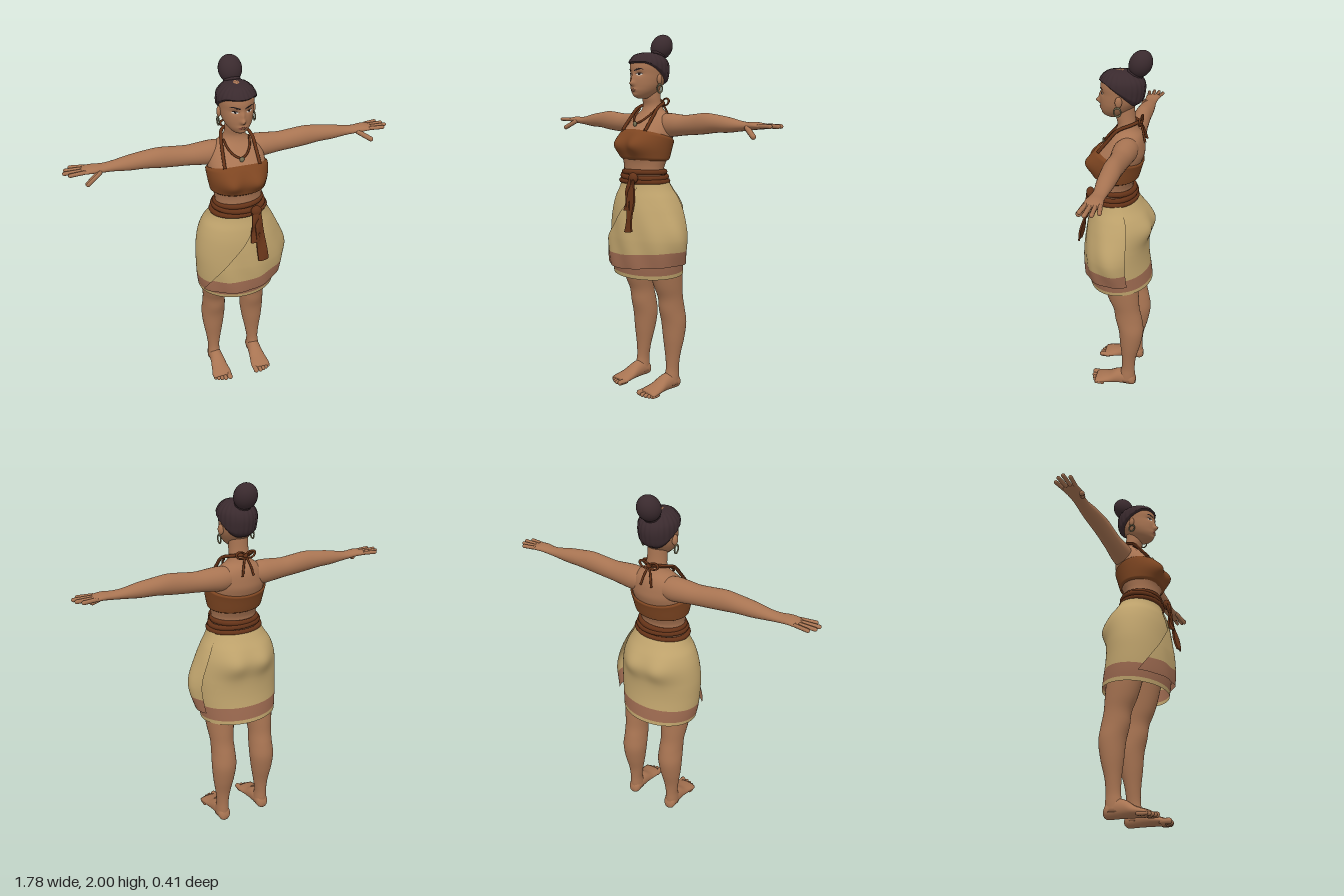
import * as THREE from 'three';

const M = (name, color, side = THREE.FrontSide) => {
  const m = new THREE.MeshStandardMaterial({ color, side });
  m.name = name;
  return m;
};
const D = THREE.DoubleSide, V = (x, y, z) => new THREE.Vector3(x, y, z);
const clamp = THREE.MathUtils.clamp, gauss = (d, s) => Math.exp(-((d / s) ** 2));
const sym = rows => rows.map(([s, h, b, f]) => [s, -h, h, b, f]);

// Smooth cross-section [x0, x1, z0, z1] at height s
function section(secs, s) {
  s = clamp(s, secs[0][0], secs[secs.length - 1][0]);
  let i = 0;
  while (i < secs.length - 2 && s > secs[i + 1][0]) i++;
  const a = secs[i], b = secs[i + 1], p = secs[i - 1] || a, n = secs[i + 2] || b;
  const h = b[0] - a[0], u = (s - a[0]) / h, u2 = u * u, u3 = u2 * u;
  return [1, 2, 3, 4].map(k => {
    const ma = (b[k] - p[k]) / (b[0] - p[0]), mb = (n[k] - a[k]) / (n[0] - a[0]);
    return (2 * u3 - 3 * u2 + 1) * a[k] + (u3 - 2 * u2 + u) * h * ma + (3 * u2 - 2 * u3) * b[k] + (u3 - u2) * h * mb;
  });
}

// Bumps are [x, y, width, height, amount, direction in z]
const bumpZ = (bumps, x, y, c) => bumps.reduce((z, [bx, by, sx, sy, amp, dir]) =>
  z + dir * amp * gauss(x - bx, sx) * gauss(y - by, sy) * clamp(c * dir * 3, 0, 1), 0);

// Skin a stack of elliptical sections; angle 0 faces +z and grows towards +x
function loft(secs, { rows = 30, cols = 40, lo = () => secs[0][0], hi = () => secs[secs.length - 1][0],
  off = () => 0, bumps = [], from = null, to = 0, cap = true } = {}) {
  const pos = [], idx = [], open = from !== null, W = open ? cols + 1 : cols;
  for (let i = 0; i <= rows; i++) for (let j = 0; j < W; j++) {
    const t = i / rows;
    let th = j / cols * Math.PI * 2 - Math.PI, s = lo(th) + (hi(th) - lo(th)) * t;
    if (open) {
      th = from(s) + (to - from(s)) * j / cols;
      s = lo(th) + (hi(th) - lo(th)) * t;
    }
    const [x0, x1, z0, z1] = section(secs, s), o = off(th, s, t), c = Math.cos(th);
    const x = (x0 + x1) / 2 + ((x1 - x0) / 2 + o) * Math.sin(th);
    pos.push(x, s, (z0 + z1) / 2 + ((z1 - z0) / 2 + o) * c + bumpZ(bumps, x, s, c));
  }
  for (let i = 0; i < rows; i++) for (let j = 0; j < cols; j++) {
    const k = (j + 1) % W, a = i * W + j, b = i * W + k;
    idx.push(a, b, b + W, a, b + W, a + W);
  }
  if (cap && !open) for (const i of [0, rows]) {
    const s = pos[i * W * 3 + 1], [x0, x1, z0, z1] = section(secs, s), c = pos.length / 3;
    pos.push((x0 + x1) / 2, s, (z0 + z1) / 2);
    for (let j = 0; j < W; j++) {
      const a = i * W + j, b = i * W + (j + 1) % W;
      i ? idx.push(c, a, b) : idx.push(c, b, a);
    }
  }
  const g = new THREE.BufferGeometry();
  g.setAttribute('position', new THREE.Float32BufferAttribute(pos, 3));
  g.setIndex(idx);
  g.computeVertexNormals();
  return g;
}

function mirrored(geo) {
  const g = geo.clone().scale(-1, 1, 1), a = g.index.array;
  for (let i = 0; i < a.length; i += 3) [a[i], a[i + 1]] = [a[i + 1], a[i]];
  g.computeVertexNormals();
  return g;
}
const capsule = (a, b, r) => {
  const d = b.clone().sub(a);
  return new THREE.CapsuleGeometry(r, d.length(), 5, 10)
    .applyQuaternion(new THREE.Quaternion().setFromUnitVectors(V(0, 1, 0), d.clone().normalize()))
    .translate((a.x + b.x) / 2, (a.y + b.y) / 2, (a.z + b.z) / 2);
};
const cord = (pts, r, closed = false) =>
  new THREE.TubeGeometry(new THREE.CatmullRomCurve3(pts.map(p => V(...p)), closed), closed ? 64 : 28, r, 8, closed);
const ball = (rx, ry, rz) => new THREE.SphereGeometry(1, 28, 20).scale(rx, ry, rz);

export function createModel() {
  const root = new THREE.Group();
  const skin = M('skin', 0xa87452), hair = M('hair', 0x3a2a2e, D), leather = M('leather', 0x7d4521, D);
  const beltMat = M('belt', 0x653318, D), cream = M('cream cloth', 0xbfa36c, D), hem = M('hem', 0x9d6a50, D);
  const metal = M('metal', 0x7a7558), white = M('eye white', 0xd2c8bc, D), dark = M('dark', 0x221a1a, D), lipMat = M('lips', 0x804638, D);
  const add = (name, geo, mat, both = false) => {
    for (const g of both ? [geo, mirrored(geo)] : [geo]) {
      const m = new THREE.Mesh(g, mat);
      m.name = both ? (g === geo ? 'left ' : 'right ') + name : name;
      root.add(m);
    }
  };

  // Torso and neck
  const body = sym([[1.18, .14, -.09, .115], [1.24, .13, -.08, .112], [1.28, .128, -.08, .112], [1.33, .138, -.10, .115],
    [1.40, .15, -.12, .12], [1.46, .155, -.14, .11], [1.50, .15, -.14, .085], [1.54, .135, -.135, .05],
    [1.57, .10, -.125, .025], [1.59, .07, -.11, .012], [1.62, .056, -.095, .003], [1.66, .052, -.088, .012], [1.72, .05, -.085, .01]]);
  const bust = [-1, 1].map(s => [s * .075, 1.41, .06, .055, .048, 1]);
  add('torso', loft(body, { rows: 60, cols: 64, bumps: bust }), skin);
  add('bandeau top', loft(body, { rows: 30, cols: 72, bumps: bust, cap: false,
    lo: th => 1.33 - .006 * (1 - Math.cos(th)), hi: th => 1.458 + .035 * Math.cos(th),
    off: (th, s, t) => .003 + .01 * clamp(Math.min(t, 1 - t) * 14, 0, 1) }), leather);

  // Head and face
  const head = sym([[1.655, .02, 0, .05], [1.665, .036, -.02, .072], [1.69, .06, -.06, .088], [1.72, .076, -.09, .092],
    [1.75, .084, -.115, .093], [1.785, .088, -.125, .09], [1.82, .09, -.128, .092], [1.85, .085, -.12, .085],
    [1.875, .068, -.10, .068], [1.892, .045, -.075, .045], [1.9, .015, -.04, .01]]);
  const features = [[0, 1.736, .012, .013, .024, 1], [0, 1.764, .011, .022, .011, 1], [0, 1.702, .02, .009, .007, 1],
    [0, 1.674, .02, .01, .006, 1], [-.036, 1.785, .018, .011, -.008, 1], [.036, 1.785, .018, .011, -.008, 1]];
  add('head', loft(head, { rows: 72, cols: 96, bumps: features }), skin);
  const faceZ = (x, y) => {
    const [x0, x1, z0, z1] = section(head, y);
    return (z0 + z1) / 2 + (z1 - z0) / 2 * Math.sqrt(Math.max(0, 1 - (2 * x / (x1 - x0)) ** 2)) + bumpZ(features, x, y, 1);
  };
  const decal = (name, pts, mat, lift) => {
    const g = new THREE.ShapeGeometry(new THREE.Shape(pts.map(p => new THREE.Vector2(...p)))), p = g.attributes.position;
    for (let i = 0; i < p.count; i++) p.setZ(i, faceZ(p.getX(i), p.getY(i)) + lift);
    g.computeVertexNormals();
    add(name, g, mat);
  };
  const oval = (x, y, rx, ry) => Array.from({ length: 16 }, (_, i) => [x + rx * Math.cos(i * Math.PI / 8), y + ry * Math.sin(i * Math.PI / 8)]);
  for (const s of [-1, 1]) {
    decal('eye', oval(s * .036, 1.783, .016, .006), white, .004);
    decal('iris', oval(s * .036, 1.784, .006, .006), dark, .0055);
    decal('eyelash', [[.018, 1.785], [.03, 1.791], [.044, 1.792], [.058, 1.787], [.044, 1.787], [.03, 1.787]].map(([x, y]) => [s * x, y]), dark, .006);
    decal('eyebrow', [[.012, 1.8], [.013, 1.807], [.03, 1.812], [.048, 1.816], [.064, 1.805], [.048, 1.81], [.03, 1.804]].map(([x, y]) => [s * x, y]), dark, .004);
  }
  decal('lips', [[-.024, 1.701], [-.008, 1.708], [0, 1.706], [.008, 1.708], [.024, 1.701], [.01, 1.694], [-.01, 1.694]], lipMat, .003);
  add('ear', ball(.012, .028, .018).rotateY(.3).translate(.09, 1.757, -.018), skin, true);
  add('earring', new THREE.TorusGeometry(.018, .004, 8, 20).rotateY(Math.PI / 2).scale(1, 1.2, 1).translate(.096, 1.708, -.014), metal, true);

  // Combed hair and bun
  const hairline = th => 1.842 - .117 * THREE.MathUtils.smoothstep(Math.abs(th) / Math.PI, .2, .9);
  add('hair', loft(head, { rows: 28, cols: 144, lo: hairline,
    off: (th, s, t) => .001 + (.011 + .0016 * Math.cos(th * 24)) * clamp(t * 9, 0, 1) }), hair);
  add('hair bun', ball(.061, .07, .058).rotateX(-.5).translate(0, 1.934, -.112), hair);
  add('hair tie', new THREE.TorusGeometry(.035, .009, 8, 24).rotateX(Math.PI / 2 - .5).translate(0, 1.887, -.085), hair);

  // Arms and hands: rows are [x, top, bottom, back, front]
  const arm = [[.06, 1.57, 1.46, -.12, -.02], [.12, 1.578, 1.45, -.125, 0], [.18, 1.575, 1.455, -.12, -.001],
    [.25, 1.57, 1.463, -.112, -.008], [.32, 1.576, 1.468, -.108, -.01], [.4, 1.583, 1.475, -.105, -.01], [.48, 1.575, 1.485, -.105, -.012],
    [.56, 1.564, 1.488, -.1, -.016], [.64, 1.548, 1.497, -.092, -.024], [.69, 1.543, 1.502, -.09, -.02],
    [.74, 1.545, 1.508, -.095, -.012], [.785, 1.538, 1.512, -.101, -.014], [.8, 1.532, 1.516, -.095, -.02]];
  add('arm', loft(arm.map(([x, t, b, z0, z1]) => [x, -t, -b, z0, z1]), { rows: 50, cols: 28 }).rotateZ(-Math.PI / 2), skin, true);
  [[-.025, .853, -.016], [-.047, .878, -.044], [-.069, .87, -.074], [-.09, .845, -.102]].forEach(([z, x, tip]) =>
    add('finger', capsule(V(.78, 1.527, z), V(x, 1.527, tip), .0105), skin, true));
  add('thumb', capsule(V(.71, 1.516, -.022), V(.775, 1.478, .008), .0135), skin, true);

  // Legs and feet
  const leg = [[.03, .09, .17, -.13, -.03], [.08, .093, .168, -.13, -.04], [.12, .095, .165, -.128, -.05], [.2, .083, .173, -.135, -.05],
    [.3, .065, .188, -.16, -.04], [.4, .053, .195, -.175, -.03], [.48, .055, .19, -.165, -.01], [.55, .058, .19, -.15, 0],
    [.62, .05, .198, -.145, .03], [.7, .04, .205, -.14, .055], [.85, .02, .21, -.14, .09], [.95, .015, .2, -.13, .1]];
  add('leg', loft(leg, { rows: 50, cols: 32 }), skin, true);
  const foot = [[-.135, .11, .15, .012, .05], [-.12, .095, .165, 0, .08], [-.07, .09, .168, 0, .1], [-.02, .085, .17, 0, .09],
    [.03, .078, .178, 0, .06], [.08, .07, .186, 0, .042], [.108, .074, .184, .002, .032]];
  add('foot', loft(foot.map(([z, x0, x1, b, t]) => [z, x0, x1, -t, -b]), { rows: 30, cols: 28 }).rotateX(Math.PI / 2), skin, true);
  [[.087, .016, .124], [.115, .0125, .126], [.137, .012, .12], [.157, .0115, .112], [.175, .011, .102]].forEach(([x, r, z]) =>
    add('toe', capsule(V(x, r, z - .04), V(x, r, z), r), skin, true));

  // Skirt: cream edge, hem band and body, first the full under layer then the front wrap
  const skirt = [[.675, -.225, .215, -.2, .155], [.75, -.235, .225, -.19, .165], [.85, -.24, .235, -.176, .168], [.95, -.24, .235, -.172, .165],
    [1.05, -.225, .215, -.175, .158], [1.12, -.2, .19, -.158, .145], [1.17, -.168, .165, -.13, .13], [1.215, -.148, .148, -.102, .12]];
  const seat = [-1, 1].map(s => [s * .085, 1.05, .075, .075, .032, -1]);
  const layers = (name, lo, edge, band, opts) => {
    const cut = d => th => lo(th) + d, base = { cols: 80, cap: false, bumps: seat, ...opts };
    if (edge) add(name + ' edge', loft(skirt, { ...base, rows: 3, lo, hi: cut(edge) }), cream);
    add(name + ' hem', loft(skirt, { ...base, rows: 8, lo: cut(edge), hi: cut(edge + band) }), hem);
    add(name, loft(skirt, { ...base, rows: 44, lo: cut(edge + band), hi: () => 1.215 }), cream);
  };
  layers('skirt', th => .685 - .007 * Math.cos(th), .022, .075, {});
  const wrapEdge = s => -1.08 + 1.55 * clamp((s - .73) / .47, 0, 1);
  layers('skirt wrap', th => .73 + .03 * Math.max(0, Math.sin(th)), 0, .08, { from: wrapEdge, to: 2.0,
    off: (th, s) => .006 + .014 * clamp((1.2 - s) / .3, 0, 1) + .026 * gauss(th - 1.6, .6) * gauss(s - .9, .13)
      + .004 * Math.sin(th * 9 + s * 14) * clamp((1.15 - s) / .3, 0, 1) });

  // Belt rolls, knot and hanging sash ends
  const roll = (y, rx, rz, r, tilt) => cord(Array.from({ length: 20 }, (_, i) => {
    const a = i * Math.PI / 10;
    return [rx * Math.sin(a), y + tilt * Math.sin(a + .6), .012 + rz * Math.cos(a)];
  }), r, true);
  add('upper belt', roll(1.258, .126, .1, .015, .005), beltMat);
  add('middle belt', roll(1.234, .137, .107, .015, -.005), beltMat);
  add('lower belt', roll(1.208, .148, .112, .014, .003), beltMat);
  add('belt knot', ball(.03, .03, .022).translate(.06, 1.235, .143), beltMat);
  const sash = (x0, x1, top, bottom, w, z0, z1) => {
    const g = new THREE.BoxGeometry(w, 1, .01, 4, 16, 1), p = g.attributes.position;
    for (let i = 0; i < p.count; i++) {
      const t = .5 - p.getY(i), x = p.getX(i);
      p.setXYZ(i, x * (.75 + .35 * t) + x0 + (x1 - x0) * t, top + (bottom - top) * t + x * .15 * t,
        p.getZ(i) + z0 + (z1 - z0) * t + .006 * Math.sin(t * 8 + x * 60));
    }
    g.computeVertexNormals();
    return g;
  };
  add('short sash end', sash(.05, .046, 1.23, 1.06, .044, .155, .175), beltMat);
  add('long sash end', sash(.062, .086, 1.23, .95, .052, .15, .2), beltMat);

  // Halter cord, tied behind the neck, and necklace
  add('halter strap', cord([[.095, 1.485, .09], [.09, 1.55, .038], [.083, 1.605, -.01], [.058, 1.63, -.075], [0, 1.635, -.112]], .009), beltMat, true);
  add('halter bow', new THREE.TorusGeometry(.022, .006, 8, 20).scale(1.2, .8, 1).rotateZ(.3).translate(.028, 1.638, -.118), beltMat, true);
  add('halter tail', cord([[0, 1.635, -.115], [.018, 1.59, -.133], [.032, 1.535, -.148]], .006), beltMat, true);
  add('halter knot', ball(.013, .013, .011).translate(0, 1.635, -.118), beltMat);
  add('necklace', cord([[-.07, 1.6, -.015], [-.058, 1.565, .03], [-.03, 1.535, .062], [0, 1.524, .072],
    [.03, 1.535, .062], [.058, 1.565, .03], [.07, 1.6, -.015]], .006), beltMat);
  add('pendant', ball(.013, .014, .007).translate(0, 1.52, .08), metal);
  return root;
}
